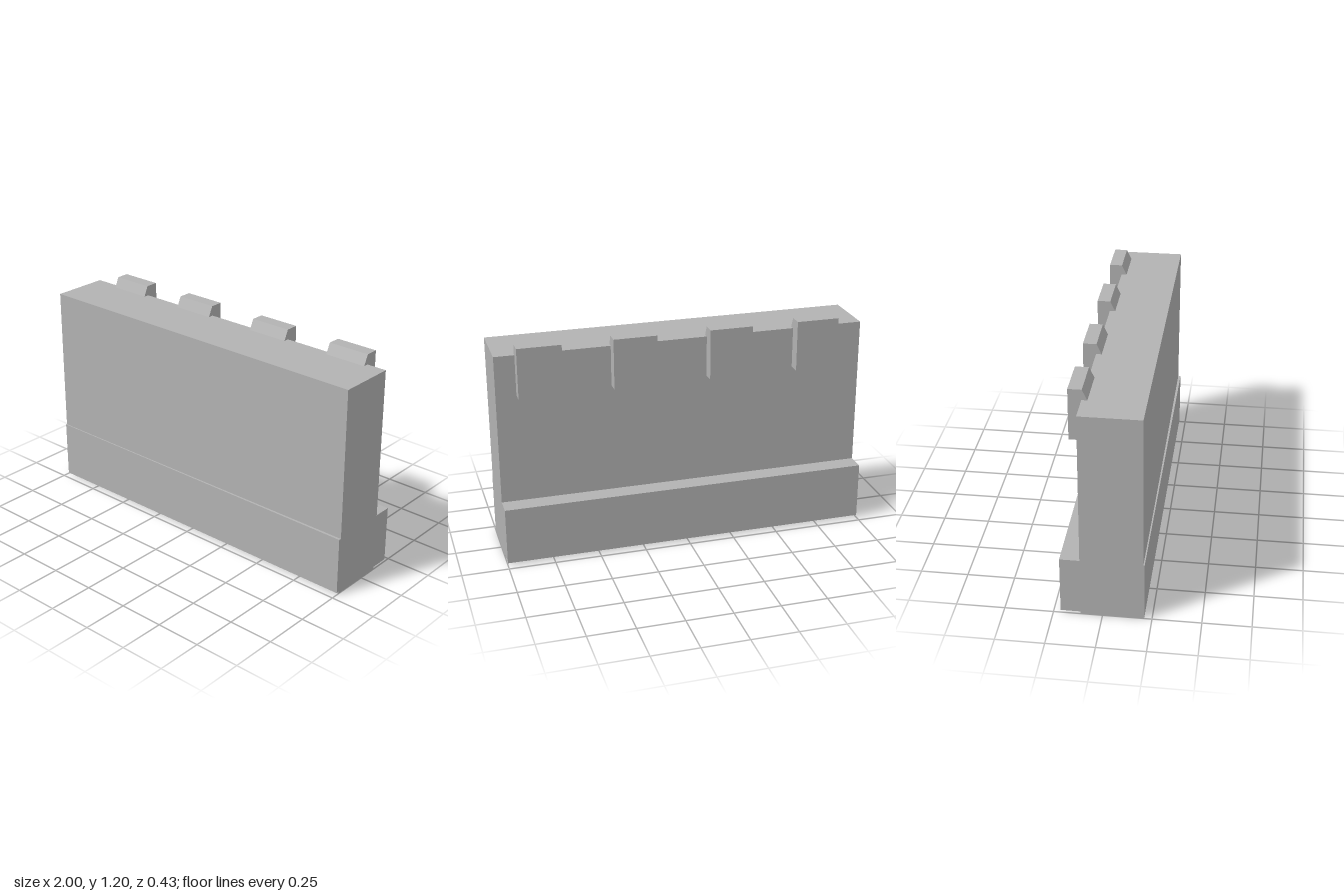
import * as THREE from 'three';

// Hollow shell along x from a [z, y] profile running up the front, over the top and down the back.
// Only the first `faces` edges get a surface, the rest stay open; the ends are capped.
function shell(name, material, x0, x1, faces, right, left = right) {
  const pos = [];
  const n = right.length;
  const R = i => [x1, right[i][1], right[i][0]];
  const L = i => [x0, left[i][1], left[i][0]];
  const tri = (a, b, c) => pos.push(...a, ...b, ...c);
  for (let i = 0; i < faces; i++) {
    tri(L(i), R(i), R(i + 1));
    tri(L(i), R(i + 1), L(i + 1));
  }
  for (let i = 0; i < n - 2; i++) {
    tri(R(n - 1), R(i + 1), R(i));
    tri(L(n - 1), L(i), L(i + 1));
  }
  const geometry = new THREE.BufferGeometry();
  geometry.setAttribute('position', new THREE.Float32BufferAttribute(pos, 3));
  geometry.computeVertexNormals();
  const mesh = new THREE.Mesh(geometry, material);
  mesh.name = name;
  return mesh;
}

export function createModel() {
  const group = new THREE.Group();
  group.name = 'parapetWall';
  const grey = new THREE.MeshStandardMaterial({ color: 0xb2b2b2, side: THREE.DoubleSide });
  grey.name = 'concreteGrey';

  // Main wall, open underneath, its front leaning out slightly at one end
  group.add(shell('wall', grey, -1, 1, 3,
    [[0.2, 0], [0.2, 1.142], [-0.112, 1.142], [-0.112, 0]],
    [[0.206, 0], [0.2, 1.142], [-0.112, 1.142], [-0.112, 0]]));

  // Thin plinth on the front
  group.add(shell('frontPlinth', grey, -1, 1, 2,
    [[0.214, 0.014], [0.214, 0.326], [0.2, 0.326], [0.2, 0.014]],
    [[0.211, 0.005], [0.211, 0.326], [0.2, 0.326], [0.2, 0.005]]));

  // Deep plinth on the back, open underneath
  group.add(shell('backPlinth', grey, -1, 1, 2,
    [[-0.112, 0.326], [-0.213, 0.326], [-0.213, 0.014], [-0.112, 0.014]]));

  // Brackets hooked over the back edge
  const bracket = [[-0.083, 1.142], [-0.109, 1.197], [-0.178, 1.197],
    [-0.178, 0.923], [-0.112, 0.923], [-0.112, 1.142]];
  [-0.727, -0.243, 0.276, 0.776].forEach((x, i) => {
    group.add(shell(`bracket${i + 1}`, grey, x - 0.116, x + 0.116, 3, bracket));
  });
  return group;
}
